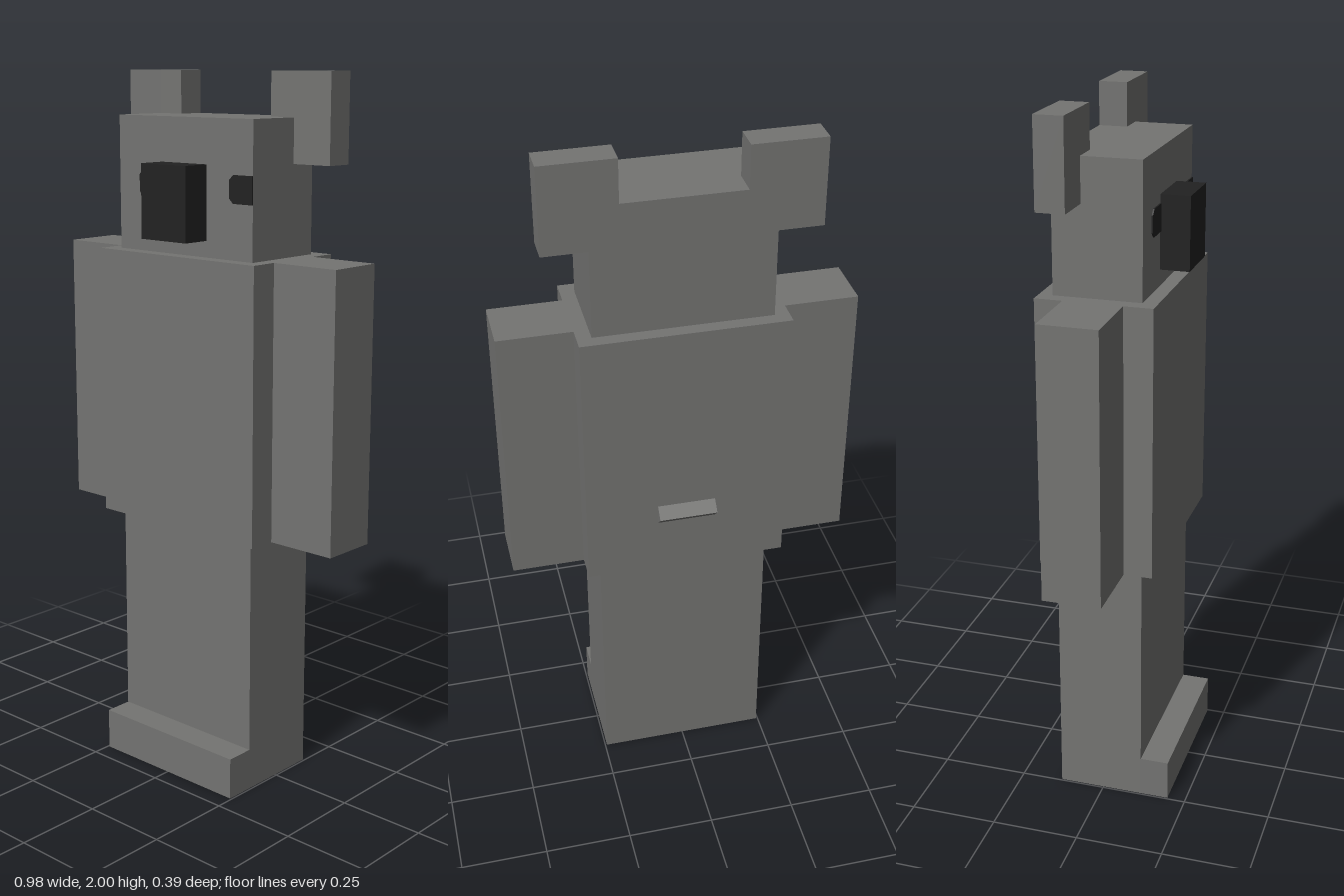
import * as THREE from 'three';

export function createModel() {
  const model = new THREE.Group();
  model.name = 'blockAnimal';
  const fur = new THREE.MeshStandardMaterial({ color: 0x747472 });
  fur.name = 'grey fur';
  const black = new THREE.MeshStandardMaterial({ color: 0x222222 });
  black.name = 'black';

  // Box given by its extents along each axis
  function block(name, [x0, x1], [y0, y1], [z0, z1], material = fur) {
    const mesh = new THREE.Mesh(new THREE.BoxGeometry(x1 - x0, y1 - y0, z1 - z0), material);
    mesh.position.set((x0 + x1) / 2, (y0 + y1) / 2, (z0 + z1) / 2);
    mesh.name = name;
    model.add(mesh);
    return mesh;
  }

  // Lower body and the ledge of the feet
  block('legs', [-0.245, 0.245], [0, 0.74], [-0.13, 0.115]);
  block('feet', [-0.245, 0.245], [0, 0.12], [0.115, 0.197]);

  // Torso and head
  block('torso', [-0.285, 0.285], [0.74, 1.51], [-0.168, 0.156]);
  block('head', [-0.245, 0.245], [1.51, 1.88], [-0.13, 0.115]);
  block('nose', [-0.082, 0.082], [1.555, 1.758], [0.115, 0.197], black);

  // Arms, and ears set around the upper back corners of the head
  for (const [side, s] of [['left', 1], ['right', -1]]) {
    const span = (a, b) => (s > 0 ? [a, b] : [-b, -a]);
    block(side + 'Arm', span(0.285, 0.49), [0.74, 1.51], [-0.09, 0.075]);
    block(side + 'EarOuter', span(0.245, 0.367), [1.758, 2], [-0.13, -0.05]);
    block(side + 'EarInner', span(0.165, 0.245), [1.88, 2], [-0.13, -0.05]);
  }

  // Eyes: thin plates with two clipped corners
  const eye = new THREE.Shape([
    [0, 0.014], [0.014, 0], [0.08, 0], [0.08, 0.075], [0.014, 0.075], [0, 0.061],
  ].map(([x, y]) => new THREE.Vector2(x, y)));
  const eyeGeometry = new THREE.ExtrudeGeometry(eye, { depth: 0.004, bevelEnabled: false });
  for (const [name, x] of [['leftEye', 0.165], ['rightEye', -0.165]]) {
    const mesh = new THREE.Mesh(eyeGeometry, black);
    mesh.position.set(x, 1.66, 0.115);
    mesh.name = name;
    model.add(mesh);
  }

  // Tail: a bar turned on edge, half sunk into the back
  const tail = block('tail', [-0.082, 0.082], [0.909, 0.95], [-0.189, -0.148]);
  tail.rotation.x = Math.PI / 4;

  return model;
}
